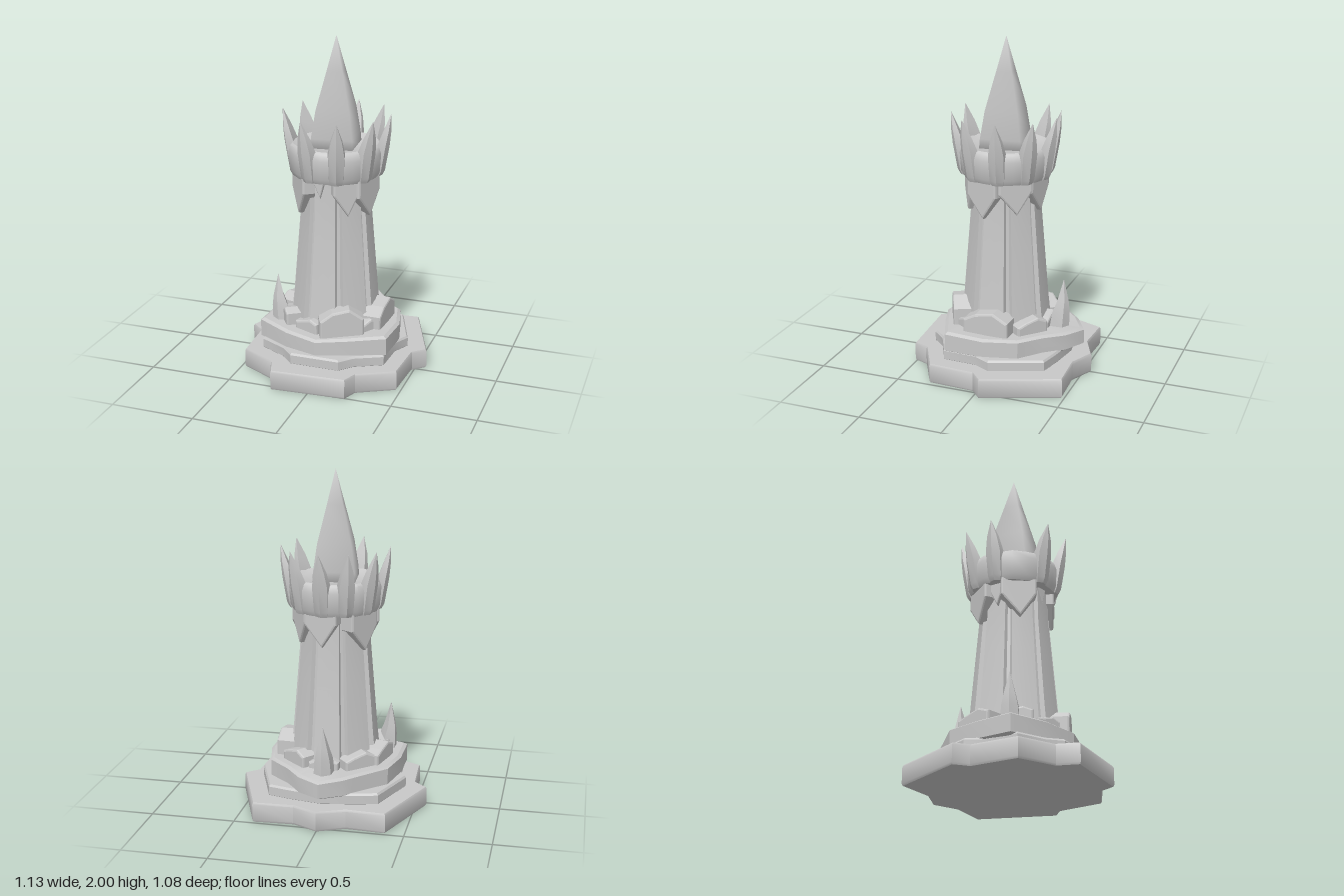
import * as THREE from 'three';
import { toCreasedNormals } from 'three/addons/utils/BufferGeometryUtils.js';

const stone = new THREE.MeshStandardMaterial({ color: 0xc8c8c8 });
stone.name = 'grey stone';

const rad = (deg) => (deg * Math.PI) / 180;

// Skin between stacked loops of [x, y, z] (clockwise from above), capped at both ends
function loft(loops, crease = 0.5) {
  const pos = [];
  const tri = (...pts) => pts.forEach((p) => pos.push(...p));
  const n = loops[0].length;
  const centre = (loop) => [0, 1, 2].map((k) => loop.reduce((s, p) => s + p[k], 0) / n);
  for (let i = 0; i < n; i++) {
    const j = (i + 1) % n;
    for (let l = 0; l < loops.length - 1; l++) {
      const lo = loops[l], hi = loops[l + 1];
      tri(lo[i], hi[i], hi[j]);
      tri(lo[i], hi[j], lo[j]);
    }
    const bottom = loops[0], top = loops[loops.length - 1];
    tri(centre(bottom), bottom[i], bottom[j]);
    tri(centre(top), top[j], top[i]);
  }
  const g = new THREE.BufferGeometry();
  g.setAttribute('position', new THREE.Float32BufferAttribute(pos, 3));
  g.computeVertexNormals();
  return toCreasedNormals(g, crease);
}

export function createModel() {
  const model = new THREE.Group();
  model.name = 'stoneTower';

  function add(name, geometry, deg = null) {
    const mesh = new THREE.Mesh(geometry, stone);
    mesh.name = name;
    // Angle 0 is the back, 90 is +x, 180 is the front; local +z points outward
    if (deg !== null) mesh.rotation.y = Math.PI - rad(deg);
    model.add(mesh);
    return mesh;
  }

  // Slab with rounded rims; lift(x, z) tilts the upper surface only
  function slab(name, outline, y0, y1, bevel, lift = () => 0) {
    const rows = [[y0, 1 - bevel, 0], [y0 + 0.012, 1, 0], [y1 - 0.012, 1, 1], [y1, 1 - bevel, 1]];
    add(name, loft(rows.map(([y, s, k]) =>
      outline.map(([x, z]) => [x * s, y + k * lift(x, z), z * s]))));
  }

  // Stepped foundation
  slab('baseSlab', [
    [-0.565, -0.04], [-0.39, -0.486], [-0.16, -0.474], [0, -0.545], [0.15, -0.476],
    [0.39, -0.488], [0.562, -0.04], [0.49, 0.025], [0.475, 0.305], [0.26, 0.42],
    [0.225, 0.51], [-0.22, 0.538], [-0.265, 0.415], [-0.475, 0.308], [-0.49, 0.025],
  ], 0, 0.12, 0.012);
  slab('middleStep', [
    [-0.44, -0.05], [-0.325, -0.355], [-0.18, -0.39], [0, -0.42], [0.18, -0.39],
    [0.325, -0.355], [0.44, -0.05], [0.39, 0.05], [0.38, 0.25], [0.22, 0.33],
    [0.15, 0.407], [-0.145, 0.407], [-0.22, 0.33], [-0.38, 0.25], [-0.39, 0.05],
  ], 0.11, 0.185, 0.02);
  slab('upperStep', [
    [-0.4, 0], [-0.355, -0.2], [-0.19, -0.36], [-0.13, -0.42], [0, -0.495], [0.13, -0.42],
    [0.22, -0.31], [0.35, -0.2], [0.4, 0], [0.39, 0.24], [0.17, 0.33], [0, 0.385],
    [-0.2, 0.33], [-0.405, 0.22],
  ], 0.17, 0.265, 0.05, (x, z) => 0.025 * Math.abs(x) / 0.4 + Math.abs(z) * 0.03);

  // Shaft: eight upright slabs separated by grooves
  const shaftLoop = (y, r) => {
    const loop = [];
    for (let i = 0; i < 8; i++) {
      for (const [off, k] of [[-17, 1.03], [0, 1], [17, 1.03], [20, 0.93], [25, 0.93]]) {
        const a = rad(i * 45 + off);
        loop.push([Math.sin(a) * r * k, y, -Math.cos(a) * r * k]);
      }
    }
    return loop;
  };
  add('shaft', loft([[0.24, 0.268], [0.45, 0.246], [0.75, 0.222], [1.0, 0.202], [1.22, 0.2]]
    .map(([y, r]) => shaftLoop(y, r)), 0.4));

  // Upright stone with the given outline, extruded outward and bevelled
  function stoneBlock(name, pts, deg, inner, outer) {
    const b = 0.012;
    const g = new THREE.ExtrudeGeometry(
      new THREE.Shape(pts.map(([x, y]) => new THREE.Vector2(x, y))),
      { depth: outer - inner - 2 * b, bevelEnabled: true, bevelThickness: b, bevelSize: b, bevelOffset: -b, bevelSegments: 2 });
    g.translate(0, 0, inner + b);
    return add(name, g, deg);
  }

  // Rubble around the foot: angle, half width, shoulder height, peak height, outer radius
  for (const [deg, w, side, peak, outer] of [
    [155, 0.13, 0.39, 0.45, 0.325], [92, 0.14, 0.38, 0.43, 0.33], [198, 0.08, 0.34, 0.36, 0.3],
    [236, 0.09, 0.36, 0.38, 0.33], [283, 0.12, 0.36, 0.39, 0.33], [320, 0.1, 0.35, 0.38, 0.32],
    [40, 0.1, 0.35, 0.38, 0.32], [2, 0.09, 0.33, 0.36, 0.3], [124, 0.06, 0.34, 0.36, 0.32],
  ]) {
    stoneBlock('rubbleStone', [
      [-w, 0.24], [w, 0.24], [w, side], [w * 0.35, peak], [-w * 0.45, peak - 0.02], [-w, side - 0.01],
    ], deg, 0.15, outer);
  }

  // Pointed brackets below the crown: angle, half width, tip height, outer radius
  for (const [deg, w, low, outer] of [
    [11, 0.1, 1.0, 0.235], [56, 0.1, 1.0, 0.235], [107, 0.105, 0.97, 0.24], [146, 0.08, 0.99, 0.235],
    [190, 0.05, 1.09, 0.215], [232, 0.105, 0.97, 0.24], [268, 0.06, 1.05, 0.225], [303, 0.105, 0.97, 0.24],
  ]) {
    stoneBlock('crownBracket', [
      [-w, 1.21], [-w, low + 0.13], [0.01, low], [w, low + 0.14], [w, 1.21],
    ], deg, 0.12, outer);
  }

  // Crown band with a faceted rim and a shallow sunken floor
  const ring = (y, r) => Array.from({ length: 18 }, (_, i) => {
    const a = rad(i * 20 + 1);
    const k = r * (i % 2 ? 0.985 : 1.02);
    return [Math.sin(a) * k, y, -Math.cos(a) * k];
  });
  add('crownBand', loft([[1.18, 0.2], [1.19, 0.252], [1.22, 0.268], [1.33, 0.277],
    [1.37, 0.265], [1.38, 0.25], [1.365, 0.22]].map(([y, r]) => ring(y, r)), 0.7));

  // Five-sided pointed stone; rows are [y, outward offset, half width, half depth]
  const fang = (rows) => loft(rows.map(([y, out, w, d]) =>
    [[-1, -0.8], [1, -0.8], [0.9, 0.5], [0, 1], [-0.9, 0.5]]
      .map(([x, z]) => [x * w, y, out + z * d])), 0.35);

  // Crown fangs
  const fangShape = fang([[1.19, 0.24, 0.036, 0.03], [1.22, 0.25, 0.046, 0.036],
    [1.37, 0.274, 0.05, 0.038], [1.46, 0.297, 0.034, 0.024], [1.56, 0.32, 0.001, 0.001]]);
  for (const deg of [6, 42, 81, 121, 161, 200, 264, 302, 335]) add('crownFang', fangShape, deg);

  // Two tall shards standing on the upper step
  const shardShape = fang([[0.24, 0.34, 0.06, 0.06], [0.37, 0.352, 0.05, 0.052],
    [0.44, 0.362, 0.034, 0.034], [0.57, 0.365, 0.001, 0.001]]);
  add('shard', shardShape, 0);
  add('shard', shardShape, 243).scale.z = 0.96;

  // Four-sided spire with softened corners
  const corners = [[-0.135, -0.105], [0.11, -0.125], [0.135, 0.115], [-0.11, 0.14]];
  add('spire', loft([[1.33, 1.03], [1.42, 0.98], [1.58, 0.8], [1.8, 0.38], [2, 0.005]]
    .map(([y, s]) => corners.map(([x, z]) => [x * s, y, z * s])), 1.65));

  return model;
}
